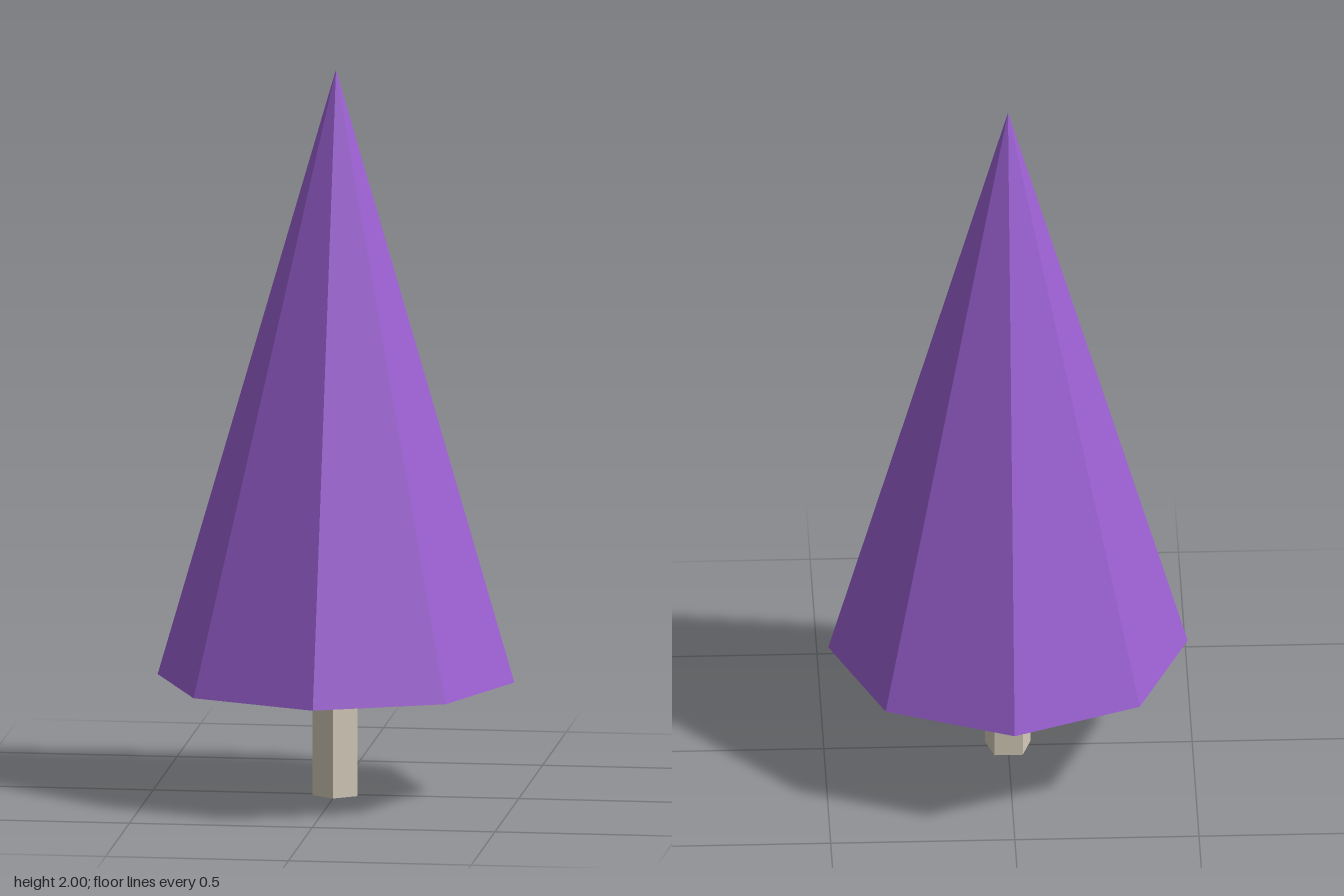
import * as THREE from 'three';

const purple = new THREE.MeshStandardMaterial({ color: 0x9b60d2, flatShading: true, side: THREE.DoubleSide });
purple.name = 'purple foliage';
const bark = new THREE.MeshStandardMaterial({ color: 0xd5ccba, flatShading: true });
bark.name = 'pale bark';

export function createModel() {
  const tree = new THREE.Group();
  tree.name = 'tree';

  // Foliage: hollow eight-sided cone, open underneath
  const bottom = 0.32, top = 2;
  const foliage = new THREE.Mesh(new THREE.ConeGeometry(0.488, top - bottom, 8, 1, true), purple);
  foliage.name = 'foliage';
  foliage.position.y = (bottom + top) / 2;
  tree.add(foliage);

  // Trunk: five-sided post reaching just inside the foliage, one edge facing front
  const trunkHeight = 0.36;
  const trunk = new THREE.Mesh(new THREE.CylinderGeometry(0.065, 0.065, trunkHeight, 5), bark);
  trunk.name = 'trunk';
  trunk.position.y = trunkHeight / 2;
  tree.add(trunk);

  return tree;
}
